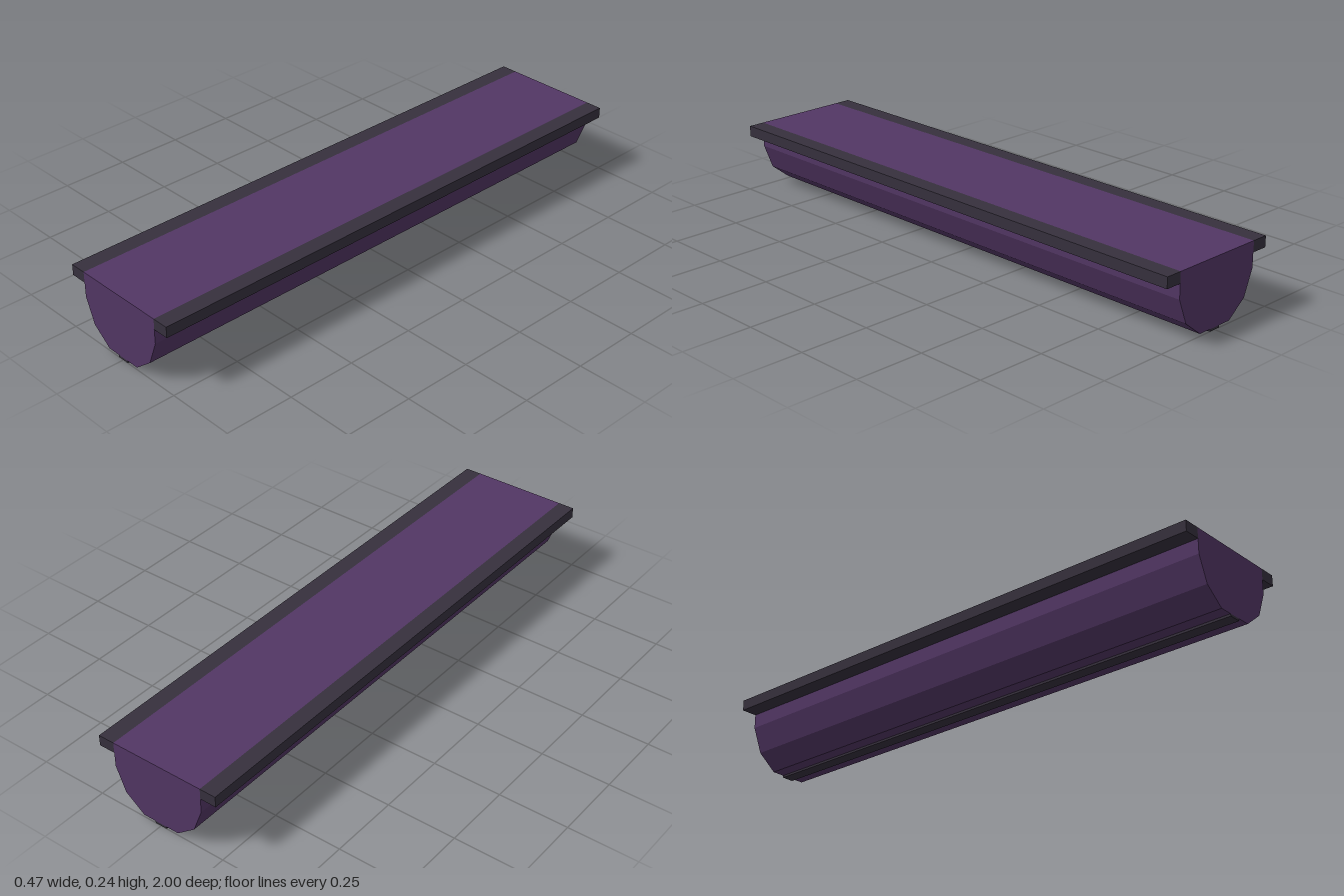
import * as THREE from 'three';

const LENGTH = 2;

export function createModel() {
  const purple = new THREE.MeshStandardMaterial({ name: 'purple', color: 0x523664 });
  const charcoal = new THREE.MeshStandardMaterial({ name: 'charcoal', color: 0x36303d });
  const model = new THREE.Group();
  model.name = 'trough';

  // Faceted trough body: half profile mirrored, then extruded along z
  const half = [[0.07, 0.008], [0.14, 0.063], [0.175, 0.152], [0.175, 0.243]];
  const mirrored = half.map(([x, y]) => [-x, y]).reverse();
  const outline = [...half, ...mirrored].map(([x, y]) => new THREE.Vector2(x, y));
  const bodyGeometry = new THREE.ExtrudeGeometry(new THREE.Shape(outline), {
    depth: LENGTH,
    bevelEnabled: false,
  });
  bodyGeometry.translate(0, 0, -LENGTH / 2);
  const body = new THREE.Mesh(bodyGeometry, purple);
  body.name = 'body';
  model.add(body);

  // Full-length dark bars
  const addBar = (name, width, height, x, y) => {
    const bar = new THREE.Mesh(new THREE.BoxGeometry(width, height, LENGTH), charcoal);
    bar.name = name;
    bar.position.set(x, y, 0);
    model.add(bar);
  };

  // Rim flanges along both upper edges
  for (const [name, side] of [['leftRim', 1], ['rightRim', -1]]) {
    addBar(name, 0.06, 0.039, side * 0.205, 0.2235);
  }

  // Thin strip under the floor
  addBar('bottomStrip', 0.045, 0.008, 0, 0.004);

  return model;
}
